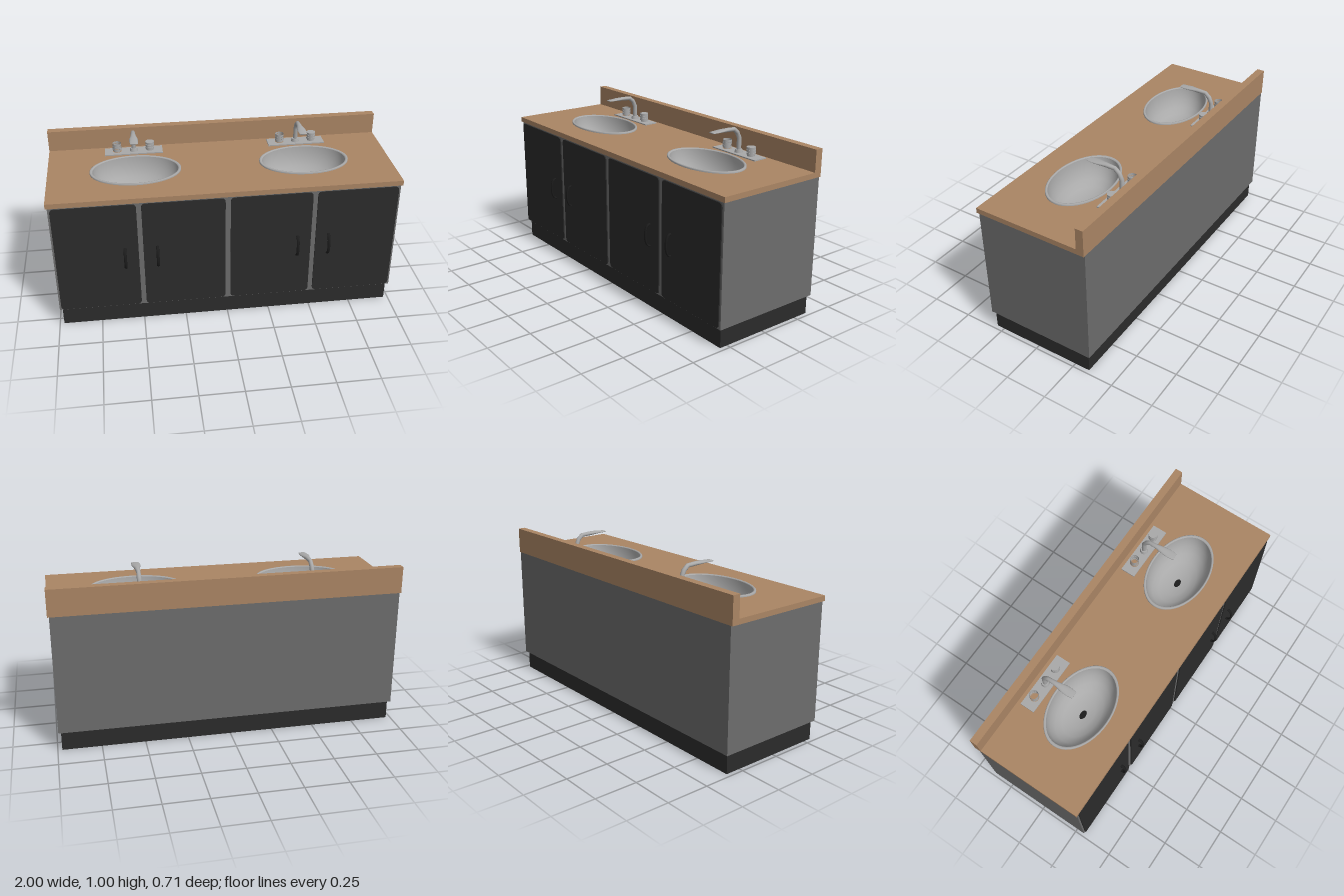
import * as THREE from 'three';

const mat = (name, color, side = THREE.FrontSide) => {
  const m = new THREE.MeshStandardMaterial({ color, side });
  m.name = name;
  return m;
};

export function createModel() {
  const wood = mat('wood', 0xaa8564);
  const grey = mat('cabinet grey', 0x6c6c6c);
  const black = mat('door black', 0x2b2b2b);
  const dark = mat('handle black', 0x1c1c1c);
  const metal = mat('metal', 0xa9a9a9, THREE.DoubleSide);

  const root = new THREE.Group();
  root.name = 'doubleVanity';
  const add = (name, geo, material, parent = root) => {
    const m = new THREE.Mesh(geo, material);
    m.name = name;
    parent.add(m);
    return m;
  };
  // Box given by its limits on each axis
  const box = (name, x0, x1, y0, y1, z0, z1, material, parent) =>
    add(name, new THREE.BoxGeometry(x1 - x0, y1 - y0, z1 - z0), material, parent)
      .position.set((x0 + x1) / 2, (y0 + y1) / 2, (z0 + z1) / 2);

  const sinkX = [-0.496, 0.492];

  // Plinth and hollow cabinet, open on top for the bowls
  box('plinth', -0.975, 0.975, 0, 0.113, -0.34, 0.298, black);
  box('cabinetFloor', -0.99, 0.99, 0.113, 0.133, -0.355, 0.313, grey);
  box('cabinetBack', -0.99, 0.99, 0.133, 0.805, -0.355, -0.335, grey);
  box('cabinetFront', -0.99, 0.99, 0.133, 0.805, 0.293, 0.313, grey);
  for (const s of [-1, 1])
    box('cabinetSide', s > 0 ? 0.97 : -0.99, s > 0 ? 0.99 : -0.97, 0.133, 0.805, -0.335, 0.293, grey);

  // Countertop with oval cut-outs, and backsplash
  const top = new THREE.Shape();
  top.moveTo(-1, -0.32).lineTo(1, -0.32).lineTo(1, 0.355).lineTo(-1, 0.355).closePath();
  for (const x of sinkX) {
    const hole = new THREE.Path();
    hole.absellipse(x, 0, 0.25, 0.162, 0, Math.PI * 2, true);
    top.holes.push(hole);
  }
  const topGeo = new THREE.ExtrudeGeometry(top, { depth: 0.03, bevelEnabled: false, curveSegments: 32 });
  topGeo.rotateX(-Math.PI / 2).translate(0, 0.805, 0);
  add('countertop', topGeo, wood);
  box('backsplash', -1, 1, 0.835, 0.96, -0.355, -0.31, wood);

  // Doors with rounded corners
  const doorShape = (w, h, r) => {
    const s = new THREE.Shape(), x = w / 2, y = h / 2;
    s.moveTo(-x + r, -y).lineTo(x - r, -y).quadraticCurveTo(x, -y, x, -y + r);
    s.lineTo(x, y - r).quadraticCurveTo(x, y, x - r, y);
    s.lineTo(-x + r, y).quadraticCurveTo(-x, y, -x, y - r);
    s.lineTo(-x, -y + r).quadraticCurveTo(-x, -y, -x + r, -y);
    return s;
  };
  const doorGeo = new THREE.ExtrudeGeometry(doorShape(0.468, 0.678, 0.025),
    { depth: 0.007, bevelEnabled: false, curveSegments: 6 });
  for (const x of [-0.745, -0.249, 0.249, 0.745])
    add('door', doorGeo, black).position.set(x, 0.458, 0.313);

  // Bowed pull handles
  const bow = new THREE.CatmullRomCurve3([[0.385, 0.316], [0.392, 0.335], [0.418, 0.347], [0.45, 0.35],
    [0.482, 0.347], [0.508, 0.335], [0.515, 0.316]].map(([y, z]) => new THREE.Vector3(0, y, z)));
  const handleGeo = new THREE.TubeGeometry(bow, 24, 0.005, 8).scale(1.7, 1, 1);
  for (const x of [-0.588, -0.404, 0.404, 0.586]) add('handle', handleGeo, dark).position.x = x;

  // Oval basin profiles, stretched to the ellipse
  const lathe = (pts, n) => new THREE.LatheGeometry(pts.map(([r, y]) => new THREE.Vector2(r, y)), n);
  const rimGeo = lathe([[1, 0.835], [1, 0.842], [0.985, 0.845], [0.95, 0.845], [0.935, 0.84]], 48).scale(0.264, 1, 0.173);
  const bowlGeo = lathe([[0.935, 0.84], [0.92, 0.81], [0.86, 0.768], [0.74, 0.728],
    [0.56, 0.7], [0.34, 0.685], [0.1, 0.68], [0, 0.68]], 48).scale(0.264, 1, 0.173);
  const drainGeo = new THREE.CircleGeometry(1, 20).rotateX(-Math.PI / 2).scale(0.028, 1, 0.017);

  // Tap spout lofted from elliptical rings: z, y, path angle, half width, half height
  const rings = [[-0.243, 0.842, 90, 0.013, 0.013], [-0.243, 0.925, 85, 0.013, 0.013],
    [-0.226, 0.96, 60, 0.013, 0.013], [-0.2, 0.981, 30, 0.012, 0.013], [-0.15, 0.984, 3, 0.015, 0.012],
    [-0.1, 0.986, 0, 0.025, 0.008], [-0.07, 0.985, 0, 0.025, 0.005], [-0.037, 0.985, 0, 0.022, 0.004],
    [-0.036, 0.985, 0, 0, 0]];
  const N = 14, pos = [], idx = [];
  rings.forEach(([z, y, deg, hw, hh], i) => {
    const t = deg * Math.PI / 180;
    for (let j = 0; j < N; j++) {
      const a = j / N * Math.PI * 2, u = Math.sin(a) * hh;
      pos.push(Math.cos(a) * hw, y + u * Math.cos(t), z - u * Math.sin(t));
      if (i) {
        const k = (j + 1) % N, p = (i - 1) * N, q = i * N;
        idx.push(p + j, p + k, q + j, p + k, q + k, q + j);
      }
    }
  });
  const spoutGeo = new THREE.BufferGeometry();
  spoutGeo.setAttribute('position', new THREE.Float32BufferAttribute(pos, 3));
  spoutGeo.setIndex(idx);
  spoutGeo.computeVertexNormals();

  // Grooved tap knob built from stacked rings
  const knobRings = [[0.842, 0.851, 0.021], [0.851, 0.863, 0.026], [0.863, 0.866, 0.023],
    [0.866, 0.88, 0.026], [0.88, 0.883, 0.023], [0.883, 0.895, 0.026]];
  const knob = (name, x, parent, open) => {
    const g = new THREE.Group();
    g.name = name;
    g.position.set(x, 0, -0.245);
    parent.add(g);
    for (const [y0, y1, r] of knobRings)
      add('knobRing', new THREE.CylinderGeometry(r, r, y1 - y0, 20, 1, open), metal, g).position.y = (y0 + y1) / 2;
    if (open) add('knobInset', new THREE.CircleGeometry(0.026, 20).rotateX(-Math.PI / 2), wood, g).position.y = 0.8435;
  };

  for (const x of sinkX) {
    const sink = new THREE.Group();
    sink.name = 'sink';
    sink.position.x = x;
    root.add(sink);
    add('rim', rimGeo, metal, sink);
    add('bowl', bowlGeo, metal, sink);
    add('drain', drainGeo, dark, sink).position.y = 0.682;
    box('tapPlate', -0.172, 0.172, 0.835, 0.842, -0.288, -0.2, metal, sink);
    add('spoutCollar', new THREE.CylinderGeometry(0.02, 0.024, 0.018, 20), metal, sink).position.set(0, 0.851, -0.243);
    add('spout', spoutGeo, metal, sink);
    knob('leftKnob', -0.099, sink, true);
    knob('rightKnob', 0.097, sink, false);
  }
  return root;
}
